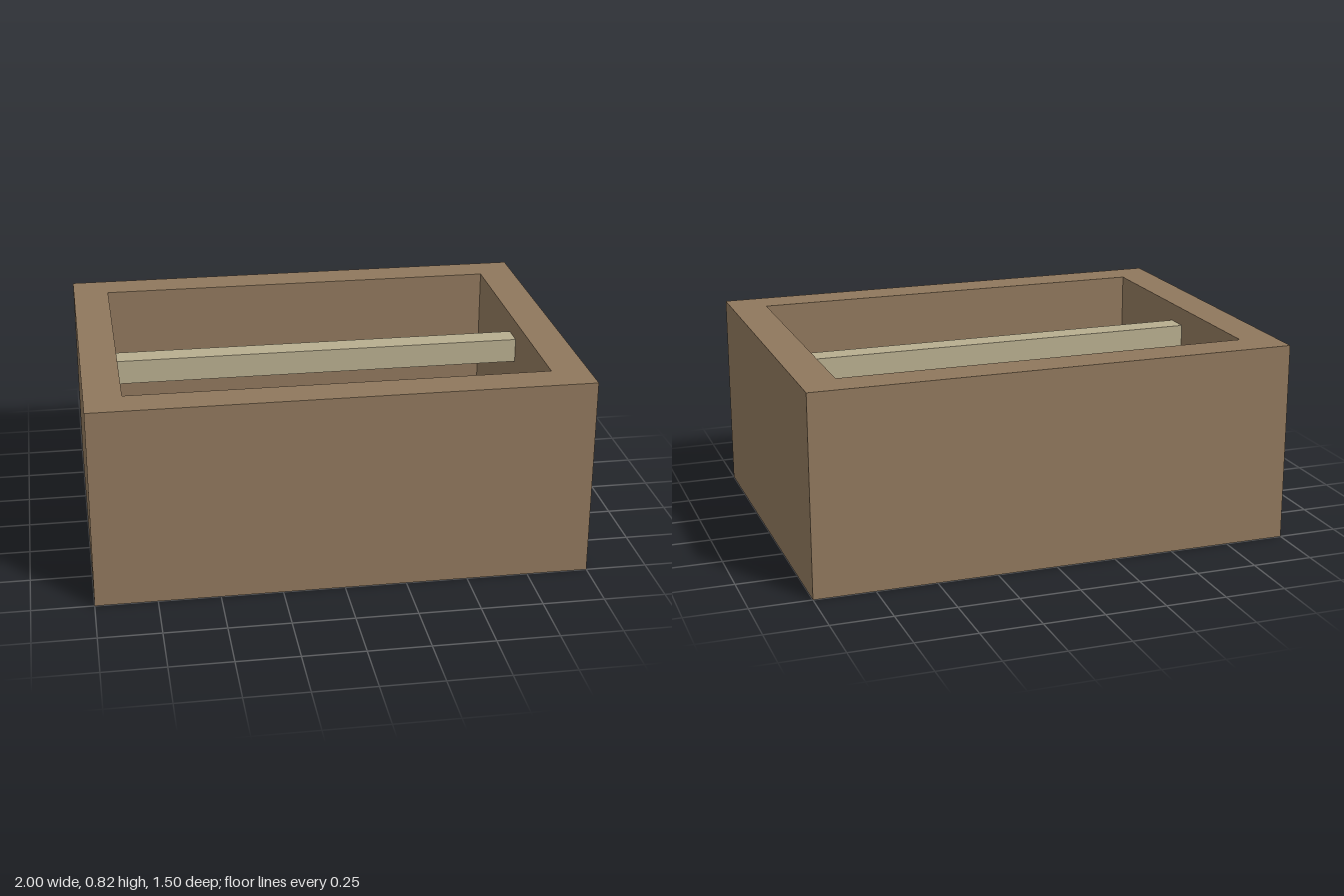
import * as THREE from 'three';

const W = 2, H = 0.825, D = 1.5, WALL = 0.15;

// Axis-aligned rectangle traced as a Shape or Path
function rect(path, w, d) {
  path.moveTo(-w / 2, -d / 2);
  path.lineTo(w / 2, -d / 2);
  path.lineTo(w / 2, d / 2);
  path.lineTo(-w / 2, d / 2);
  path.closePath();
  return path;
}

export function createModel() {
  const brown = new THREE.MeshStandardMaterial({ color: 0x8f775c });
  brown.name = 'brown wood';
  const pale = new THREE.MeshStandardMaterial({ color: 0xb7ad8e });
  pale.name = 'pale wood';

  const group = new THREE.Group();
  group.name = 'openBox';
  const innerW = W - 2 * WALL, innerD = D - 2 * WALL;

  const add = (name, geometry, material, y) => {
    const mesh = new THREE.Mesh(geometry, material);
    mesh.name = name;
    mesh.position.y = y;
    group.add(mesh);
  };

  // Four walls as one frame, extruded upwards
  const outline = rect(new THREE.Shape(), W, D);
  outline.holes.push(rect(new THREE.Path(), innerW, innerD));
  const walls = new THREE.ExtrudeGeometry(outline, { depth: H, bevelEnabled: false });
  walls.rotateX(-Math.PI / 2);
  add('walls', walls, brown, 0);

  // Floor slab filling the frame
  add('floor', new THREE.BoxGeometry(innerW, WALL, innerD), brown, WALL / 2);

  // Rail spanning the opening just below the rim
  add('crossBar', new THREE.BoxGeometry(innerW, 0.1, 0.1), pale, 0.7);

  return group;
}
